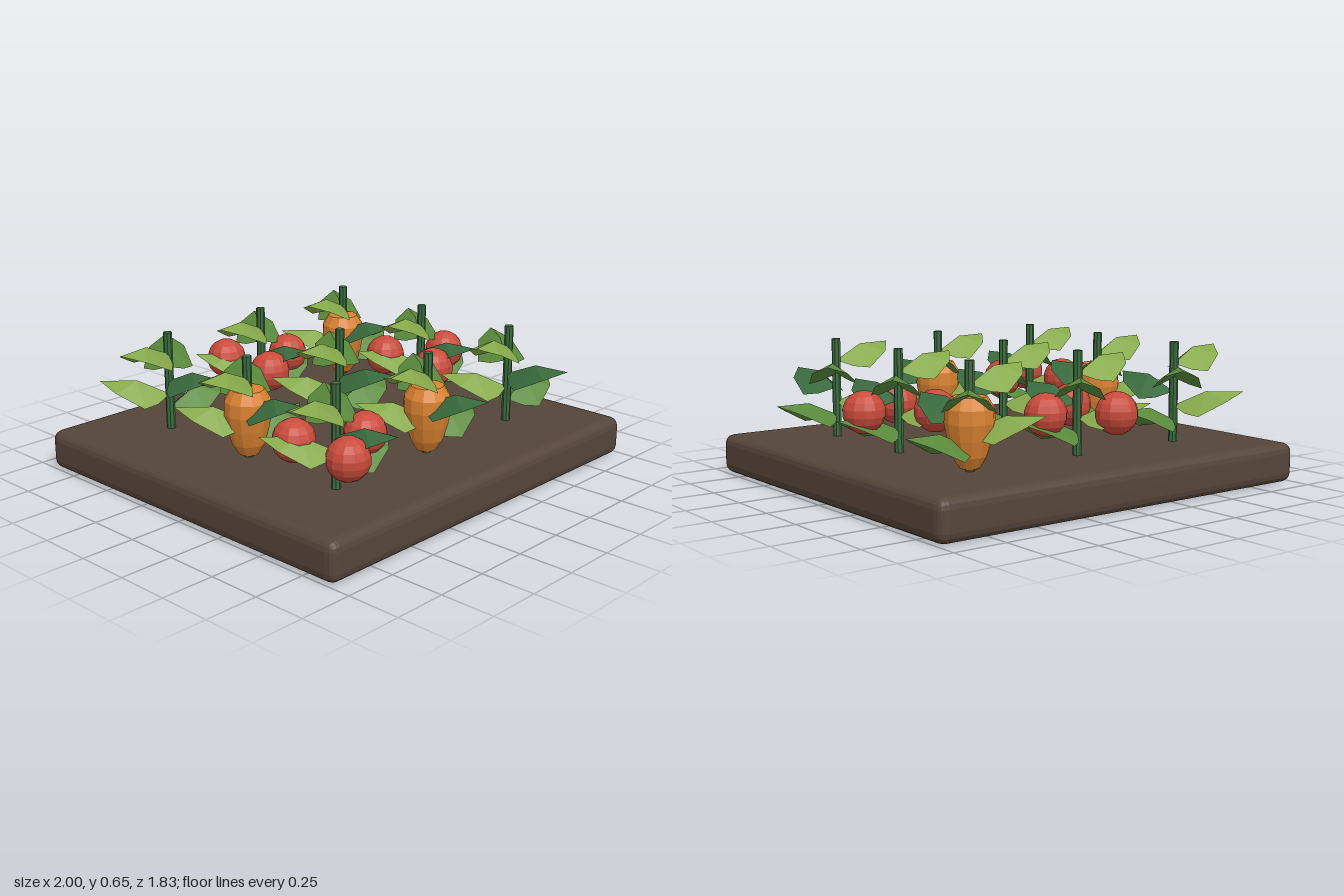
import * as THREE from 'three';
import { RoundedBoxGeometry } from 'three/addons/geometries/RoundedBoxGeometry.js';

const mat = (name, color, extra = {}) => {
  const m = new THREE.MeshStandardMaterial({ color, flatShading: true, ...extra });
  m.name = name;
  return m;
};

// Folded leaf blade along +x; the midrib is high and the edges droop. The tip sits at y = 0.
function leafGeometry() {
  const base = [0, -0.068, 0], rib = [0.15, 0, 0], tip = [0.32, 0, 0];
  const rim = [[0.05, -0.095, 0.07], [0.11, -0.103, 0.115], [0.24, -0.037, 0.082]];
  const pos = [];
  for (const side of [1, -1]) {
    const edge = [base, ...rim.map(([x, y, z]) => [x, y, z * side]), tip];
    for (let i = 0; i < edge.length - 1; i++) {
      const pair = side > 0 ? [edge[i], edge[i + 1]] : [edge[i + 1], edge[i]];
      pos.push(...rib, ...pair[0], ...pair[1]);
    }
  }
  const g = new THREE.BufferGeometry();
  g.setAttribute('position', new THREE.Float32BufferAttribute(pos, 3));
  g.computeVertexNormals();
  return g;
}

export function createModel() {
  const model = new THREE.Group();
  model.name = 'vegetableBed';

  const soil = mat('soil brown', 0x55453a);
  const stemGreen = mat('stem green', 0x3a6b3e);
  const red = mat('tomato red', 0xc94b3b);
  const orange = mat('pepper orange', 0xd98230);
  const leafMats = [
    mat('mid leaf green', 0x5a8a3c, { side: THREE.DoubleSide }),
    mat('light leaf green', 0x86a94b, { side: THREE.DoubleSide }),
    mat('dark leaf green', 0x3a6b3e, { side: THREE.DoubleSide }),
  ];

  const add = (parent, name, geometry, material, x = 0, y = 0, z = 0) => {
    const mesh = new THREE.Mesh(geometry, material);
    mesh.name = name;
    mesh.position.set(x, y, z);
    parent.add(mesh);
    return mesh;
  };

  // Soil slab
  add(model, 'soilBed', new RoundedBoxGeometry(2, 0.185, 1.83, 2, 0.045), soil, 0, 0.0925, 0);

  // Shared plant parts
  const stemGeo = new THREE.CylinderGeometry(0.021, 0.021, 0.48, 8);
  const leafGeo = leafGeometry();
  const tomatoGeo = new THREE.SphereGeometry(0.096, 12, 9);
  const pepperProfile = [
    [0, 0.18], [0.045, 0.2], [0.075, 0.25], [0.095, 0.32],
    [0.108, 0.39], [0.105, 0.45], [0.075, 0.5], [0, 0.515],
  ].map(([r, y]) => new THREE.Vector2(r, y));
  const pepperGeo = new THREE.LatheGeometry(pepperProfile, 12);

  // Three by three plants; each row and column holds one bare, one tomato and one pepper plant
  for (let row = 0; row < 3; row++) {
    for (let col = 0; col < 3; col++) {
      const plant = new THREE.Group();
      plant.name = 'plant';
      plant.position.set((col - 1) * 0.585, 0, (row - 1) * 0.535);
      model.add(plant);

      add(plant, 'stem', stemGeo, stemGreen, 0, 0.41, 0);

      // Leaves spiral up by the golden angle
      for (let i = 0; i < 5; i++) {
        const leaf = add(plant, 'leaf', leafGeo, leafMats[i % 3], 0, 0.355 + i * 0.065, 0);
        leaf.rotation.y = THREE.MathUtils.degToRad(137.5 * i);
      }

      const kind = (col + 2 * row) % 3;
      if (kind === 1) {
        for (let i = 0; i < 3; i++) {
          const a = (i * Math.PI * 2) / 3;
          add(plant, 'tomato', tomatoGeo, red, Math.cos(a) * 0.18, 0.383, Math.sin(a) * 0.18);
        }
      } else if (kind === 2) {
        add(plant, 'pepper', pepperGeo, orange);
      }
    }
  }
  return model;
}
